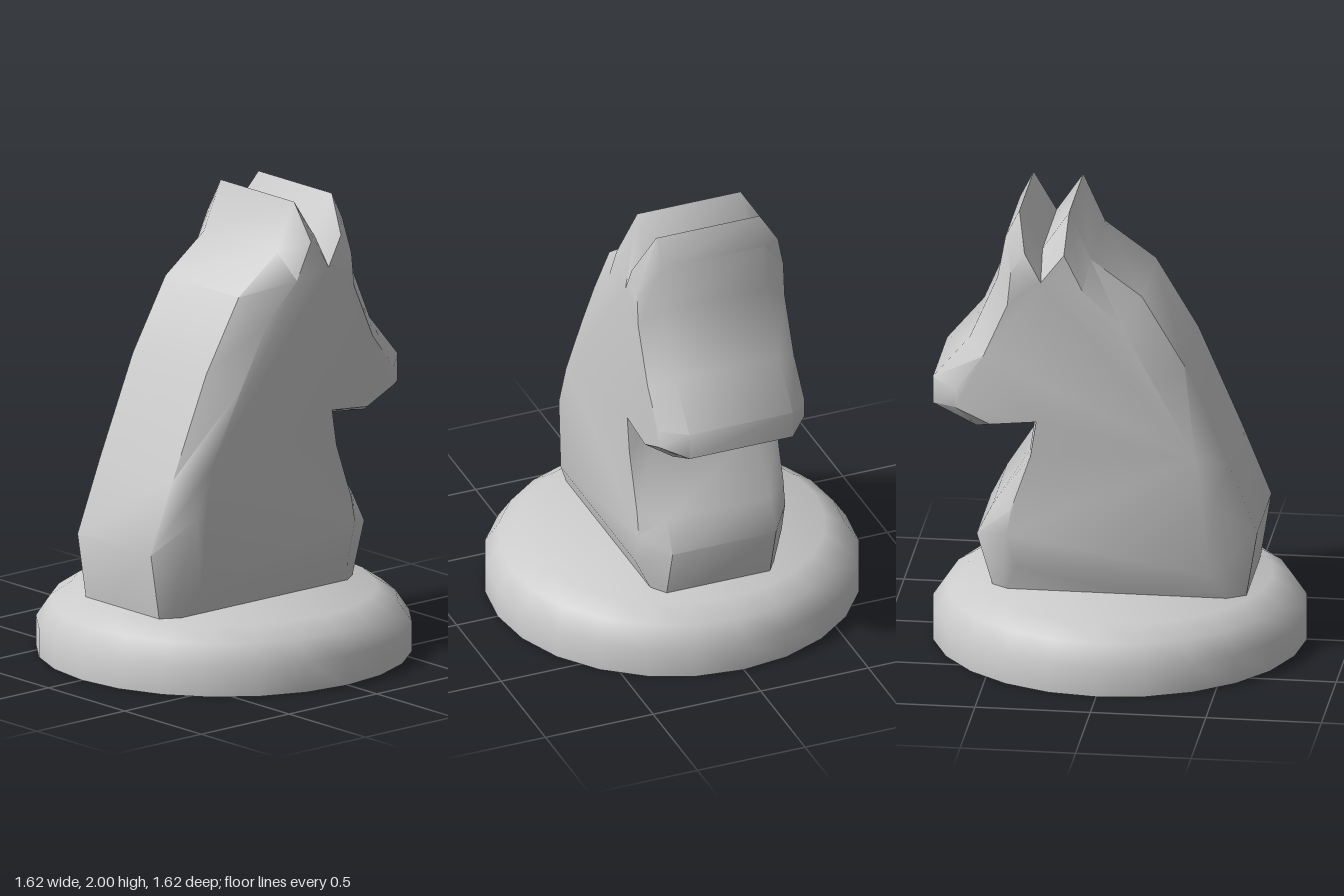
import * as THREE from 'three';
import { toCreasedNormals } from 'three/addons/utils/BufferGeometryUtils.js';

// Each row: z, y of the silhouette on the middle slab, then z, y of the matching inset point on the flat side
const PROFILE = [
  [0.56, 0.17, 0.43, 0.40],    // back foot
  [0.625, 0.57, 0.45, 0.72],   // back of the neck
  [0.50, 0.88, 0.37, 0.93],
  [0.31, 1.32, 0.19, 1.27],
  [0.125, 1.63, 0.05, 1.52],
  [-0.095, 1.79, -0.12, 1.68], // first ear
  [-0.19, 2.00, -0.20, 1.84],
  [-0.305, 1.83, -0.30, 1.71], // notch between the ears
  [-0.405, 2.00, -0.37, 1.84], // second ear
  [-0.465, 1.88, -0.43, 1.75],
  [-0.50, 1.69, -0.445, 1.60], // forehead
  [-0.62, 1.41, -0.55, 1.36],
  [-0.78, 1.22, -0.67, 1.20],  // muzzle
  [-0.78, 1.10, -0.67, 1.12],
  [-0.59, 1.005, -0.52, 1.05], // jaw
  [-0.34, 1.035, -0.32, 1.07], // throat
  [-0.36, 0.90, -0.345, 0.91],
  [-0.52, 0.65, -0.43, 0.66],  // chest
  [-0.59, 0.51, -0.45, 0.55],
  [-0.49, 0.17, -0.41, 0.40],
];

// Slab with bevelled sides: four cross-sections joined in loops, closed by two flat sides
function horseGeometry() {
  const n = PROFILE.length;
  const pos = [];
  const index = [];
  const sections = [[-0.34, 2], [-0.24, 0], [0.24, 0], [0.34, 2]];
  for (const [x, k] of sections) {
    for (const p of PROFILE) pos.push(x, p[k + 1], p[k]);
  }
  for (let s = 0; s < 3; s++) {
    for (let i = 0; i < n; i++) {
      const j = (i + 1) % n;
      const a = s * n, b = a + n;
      index.push(a + i, b + i, b + j, a + i, b + j, a + j);
    }
  }
  const side = PROFILE.map((p) => new THREE.Vector2(p[2], p[3]));
  for (const [a, b, c] of THREE.ShapeUtils.triangulateShape(side, [])) {
    index.push(a, b, c, 3 * n + a, 3 * n + c, 3 * n + b);
  }
  const g = new THREE.BufferGeometry();
  g.setAttribute('position', new THREE.Float32BufferAttribute(pos, 3));
  g.setIndex(index);
  return toCreasedNormals(g, 0.85);
}

export function createModel() {
  const group = new THREE.Group();
  group.name = 'chessKnight';
  const material = new THREE.MeshStandardMaterial({ color: 0xcccccc });

  // Round foot with a softened upper rim
  const rim = [[0, 0], [0.81, 0], [0.81, 0.13], [0.75, 0.22], [0.66, 0.28], [0, 0.28]];
  const lathe = new THREE.LatheGeometry(rim.map(([r, y]) => new THREE.Vector2(r, y)), 24);
  const base = new THREE.Mesh(toCreasedNormals(lathe, 0.85), material);
  base.name = 'base';

  const horse = new THREE.Mesh(horseGeometry(), material);
  horse.name = 'horseHead';

  group.add(base, horse);
  return group;
}
